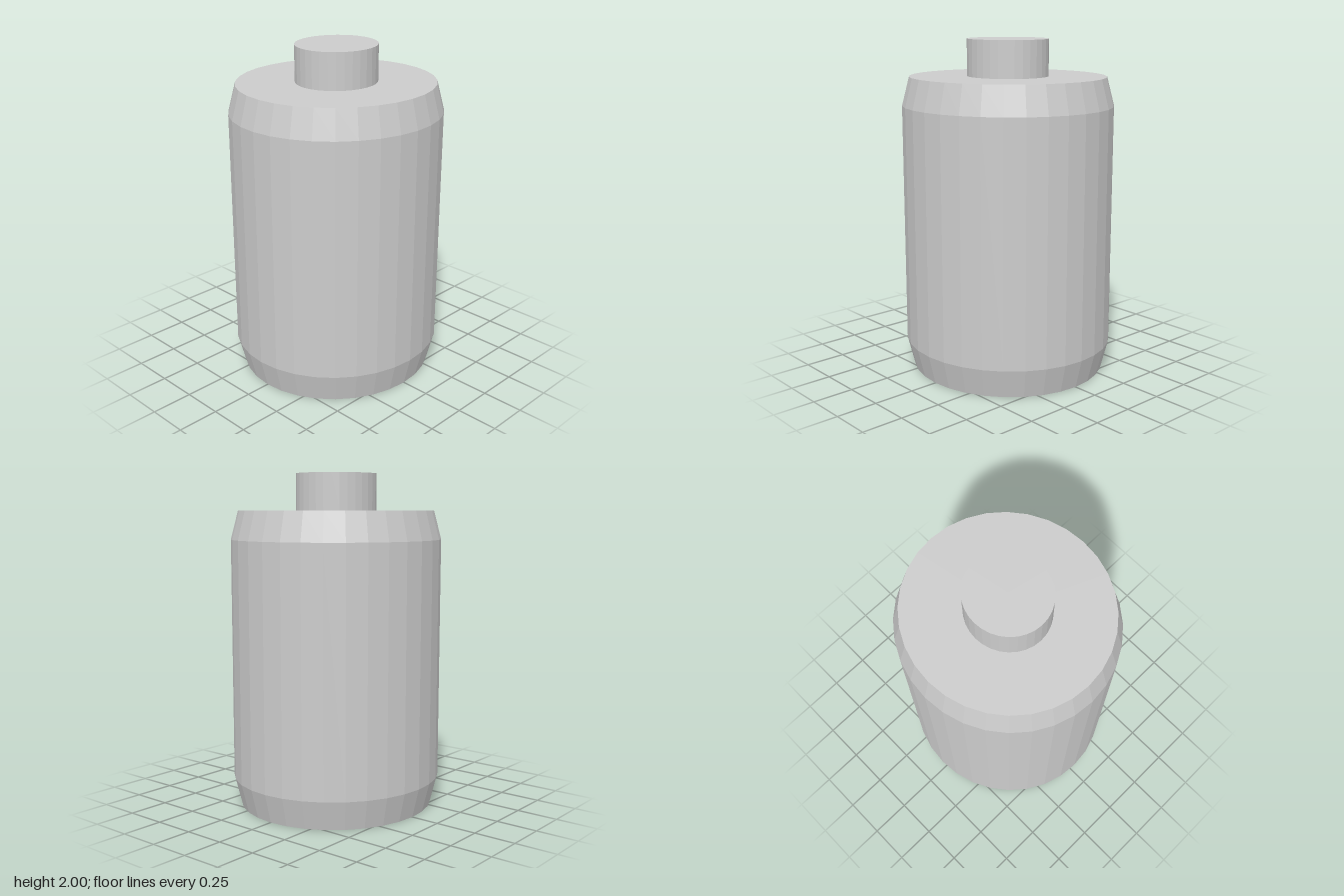
import * as THREE from 'three';

const SEGMENTS = 32;

// Flat-shaded turned part from [radius, height] points, slightly narrower in depth
function turned(name, points, depth) {
  const profile = points.map(([r, y]) => new THREE.Vector2(r, y));
  const geometry = new THREE.LatheGeometry(profile, SEGMENTS);
  geometry.scale(1, 1, depth);
  const material = new THREE.MeshStandardMaterial({ color: 0xcccccc, flatShading: true });
  const mesh = new THREE.Mesh(geometry, material);
  mesh.name = name;
  return mesh;
}

export function createModel() {
  const model = new THREE.Group();
  model.name = 'canister';

  // Body with chamfered base and shoulder
  model.add(turned('body', [
    [0, 0], [0.597, 0], [0.642, 0.175], [0.642, 1.612], [0.597, 1.782], [0, 1.782],
  ], 0.966));

  // Short stud on top
  model.add(turned('topStud', [
    [0, 1.782], [0.248, 1.782], [0.248, 2], [0, 2],
  ], 0.956));

  return model;
}
